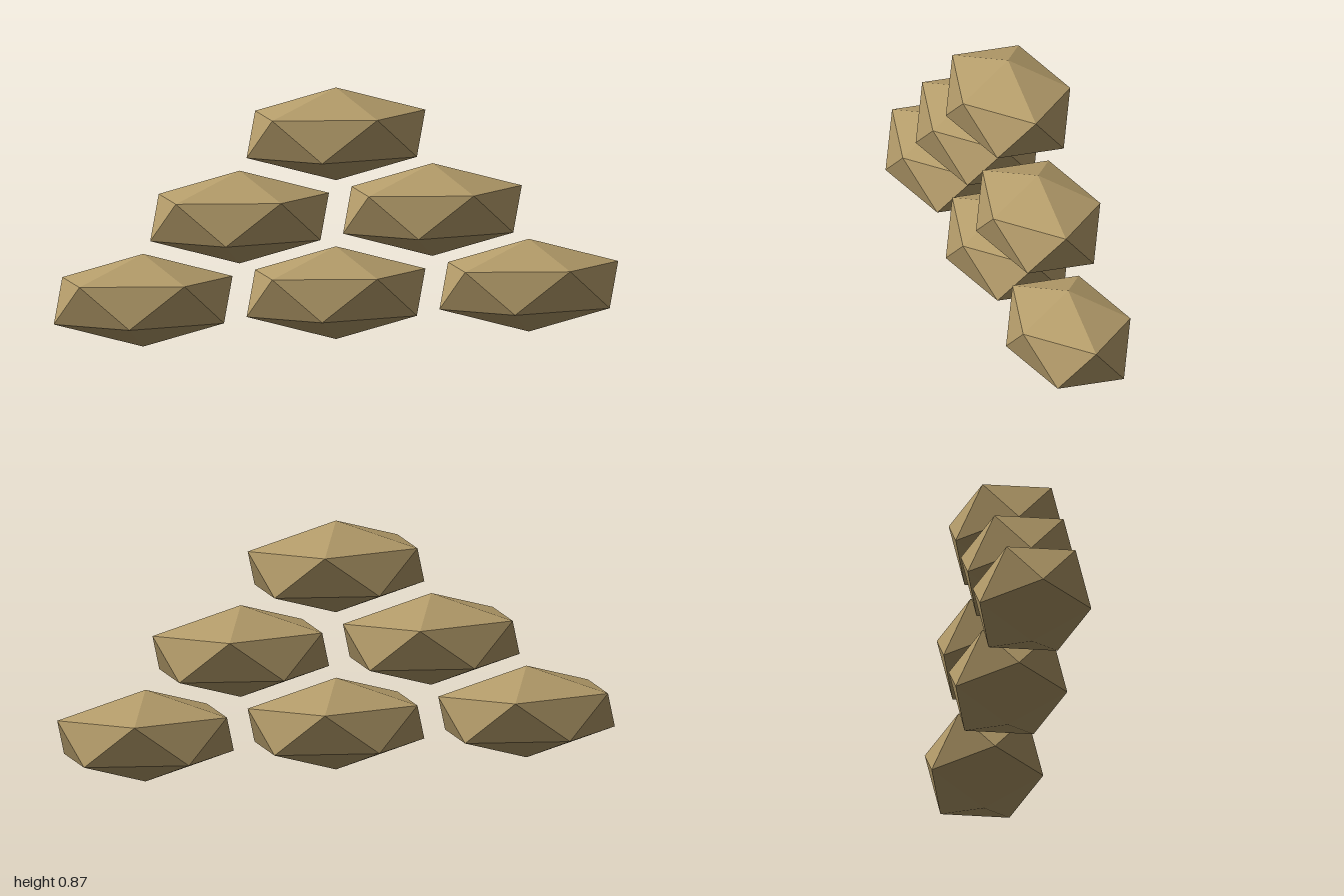
import * as THREE from 'three';

// Low-poly bag: a twenty-sided solid standing on a corner, stretched along x
function bagGeometry() {
  const points = [0, 1, 0, 0, -1, 0];
  const faces = [];
  const ringY = 1 / Math.sqrt(5), ringR = 2 / Math.sqrt(5);
  for (let i = 0; i < 5; i++) {
    const a = (i * 2 * Math.PI) / 5, b = a + Math.PI / 5;
    points.push(ringR * Math.cos(a), ringY, ringR * Math.sin(a));
    points.push(ringR * Math.cos(b), -ringY, ringR * Math.sin(b));
    const up = 2 + 2 * i, low = up + 1;
    const nextUp = 2 + 2 * ((i + 1) % 5), nextLow = nextUp + 1;
    faces.push(0, nextUp, up, up, nextUp, low, low, nextUp, nextLow, 1, low, nextLow);
  }
  const geometry = new THREE.PolyhedronGeometry(points, faces, 1, 0);
  geometry.scale(0.354, 0.161, 0.227);
  return geometry;
}

export function createModel() {
  const model = new THREE.Group();
  model.name = 'sandbagWall';
  const burlap = new THREE.MeshStandardMaterial({ color: 0xb49c6a, flatShading: true });
  burlap.name = 'burlap';
  const geometry = bagGeometry();

  // Three stacked rows of three, two and one bags
  for (let row = 0; row < 3; row++) {
    const count = 3 - row;
    for (let i = 0; i < count; i++) {
      const bag = new THREE.Mesh(geometry, burlap);
      bag.name = `sandbagRow${row + 1}Number${i + 1}`;
      bag.position.set((i - (count - 1) / 2) * 0.683, 0.163 + row * 0.276, 0);
      model.add(bag);
    }
  }
  return model;
}
